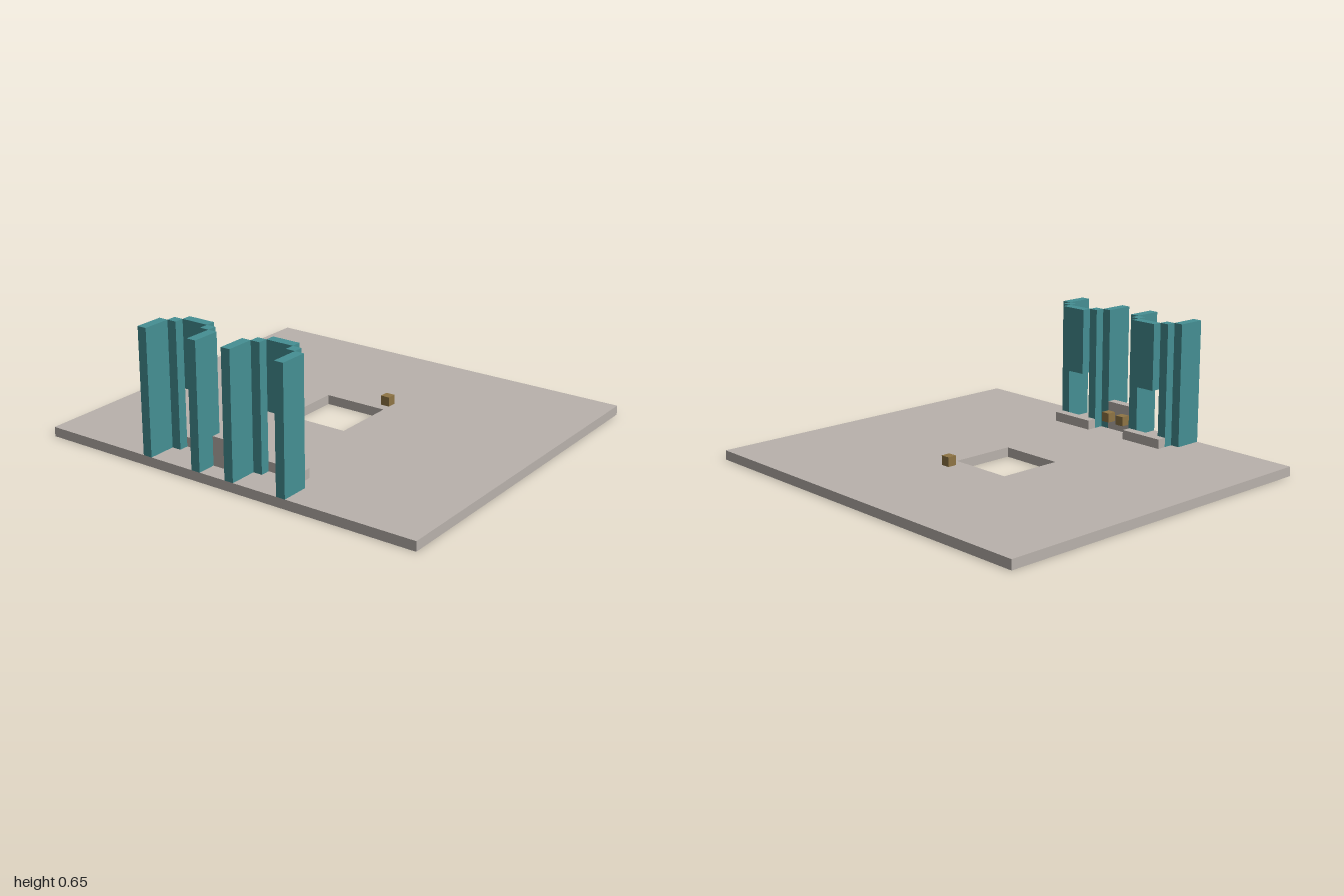
import * as THREE from 'three';

// Everything sits on a 43 x 38 grid of cubic cells
const U = 2 / 43;
const X0 = -1, Z0 = -19 * U;

const stone = new THREE.MeshStandardMaterial({ color: 0xb9b2ac });
stone.name = 'stone grey';
const teal = new THREE.MeshStandardMaterial({ color: 0x458f93 });
teal.name = 'teal';
const wood = new THREE.MeshStandardMaterial({ color: 0x8f7545 });
wood.name = 'wood brown';

// Box between two grid corners
function block(name, material, [x1, y1, z1], [x2, y2, z2]) {
  const geometry = new THREE.BoxGeometry((x2 - x1) * U, (y2 - y1) * U, (z2 - z1) * U);
  const mesh = new THREE.Mesh(geometry, material);
  mesh.name = name;
  mesh.position.set(X0 + (x1 + x2) / 2 * U, (y1 + y2) / 2 * U, Z0 + (z1 + z2) / 2 * U);
  return mesh;
}

// Rectangle outline on the floor plan (shape y becomes -z)
function outline(target, x1, z1, x2, z2) {
  const px = i => X0 + i * U, py = j => -(Z0 + j * U);
  target.moveTo(px(x1), py(z2));
  target.lineTo(px(x2), py(z2));
  target.lineTo(px(x2), py(z1));
  target.lineTo(px(x1), py(z1));
  target.closePath();
  return target;
}

// Floor slab with a square opening
function floorSlab() {
  const shape = outline(new THREE.Shape(), 0, 0, 43, 38);
  shape.holes.push(outline(new THREE.Path(), 17, 15, 24, 22));
  const geometry = new THREE.ExtrudeGeometry(shape, { depth: U, bevelEnabled: false });
  geometry.rotateX(-Math.PI / 2);
  const mesh = new THREE.Mesh(geometry, stone);
  mesh.name = 'floorSlab';
  return mesh;
}

// Stepped bay, open at the front, with a window at the back
function bay(name, x) {
  const group = new THREE.Group();
  group.name = name;
  group.add(
    block('sideWallRight', teal, [x, 1, 35], [x + 1, 14, 38]),
    block('sideWallLeft', teal, [x + 6, 1, 35], [x + 7, 14, 38]),
    block('cornerPostRight', teal, [x + 1, 1, 34], [x + 2, 14, 35]),
    block('cornerPostLeft', teal, [x + 5, 1, 34], [x + 6, 14, 35]),
    block('upperPanel', teal, [x + 2, 7, 33], [x + 5, 14, 34]),
    block('windowSill', stone, [x + 1, 1, 33], [x + 6, 2, 34])
  );
  return group;
}

export function createModel() {
  const model = new THREE.Group();
  model.name = 'floorWithBays';
  model.add(floorSlab(), bay('rightBay', 12), bay('leftBay', 22));
  // Low wall joining the bays, with two small blocks on its back
  model.add(block('lowWall', stone, [19, 1, 35], [22, 4, 36]));
  for (const x of [19, 21]) {
    model.add(block('wallBlock', wood, [x, 2, 34], [x + 1, 3, 35]));
  }
  // Loose block by the opening
  model.add(block('floorBlock', wood, [23, 1, 13], [24, 2, 14]));
  return model;
}
